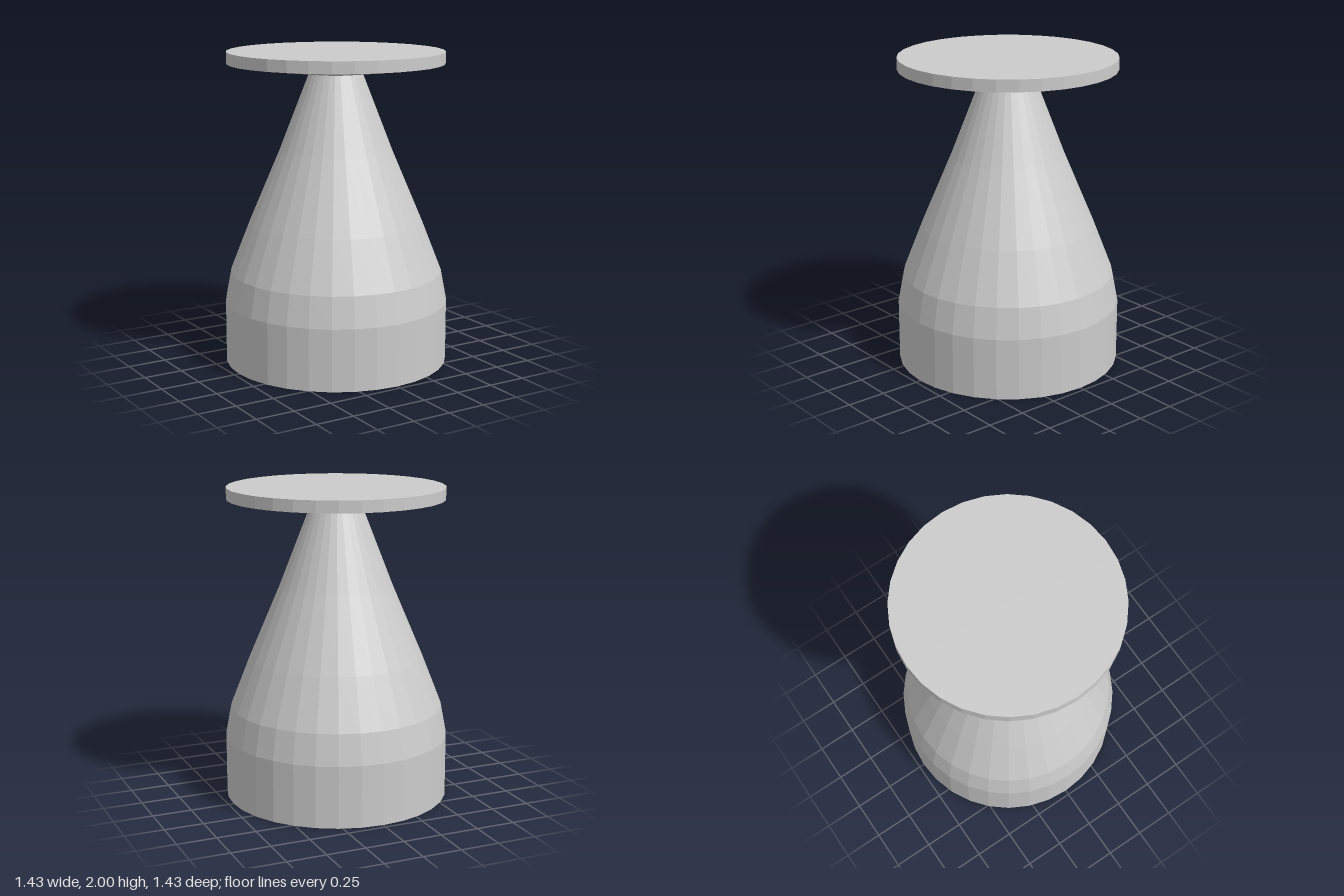
import * as THREE from 'three';

const SIDES = 32;

// Faceted solid of revolution from [radius, height] pairs, listed bottom to top on the outside
function turned(name, profile) {
  const points = profile.map(([r, y]) => new THREE.Vector2(r, y));
  const material = new THREE.MeshStandardMaterial({ color: 0xcccccc, flatShading: true });
  const mesh = new THREE.Mesh(new THREE.LatheGeometry(points, SIDES), material);
  mesh.name = name;
  return mesh;
}

export function createModel() {
  const group = new THREE.Group();
  group.name = 'bellWithDisc';

  // Hollow bell: up the outside to the neck
  const outside = [[0.717, 0], [0.717, 0.395], [0.68, 0.59], [0.555, 0.91], [0.36, 1.37], [0.17, 1.86]];
  // Cavity: from its closed tip down to the rim
  const cavity = [[0, 1.8], [0.1, 1.8], [0.29, 1.34], [0.485, 0.88], [0.61, 0.57], [0.645, 0.385], [0.645, 0]];
  group.add(turned('bellBody', [...cavity, ...outside]));

  // Flat disc on the neck, with a shallow cone underneath
  group.add(turned('topDisc', [[0, 1.86], [0.17, 1.86], [0.69, 1.925], [0.69, 2], [0, 2]]));

  return group;
}
